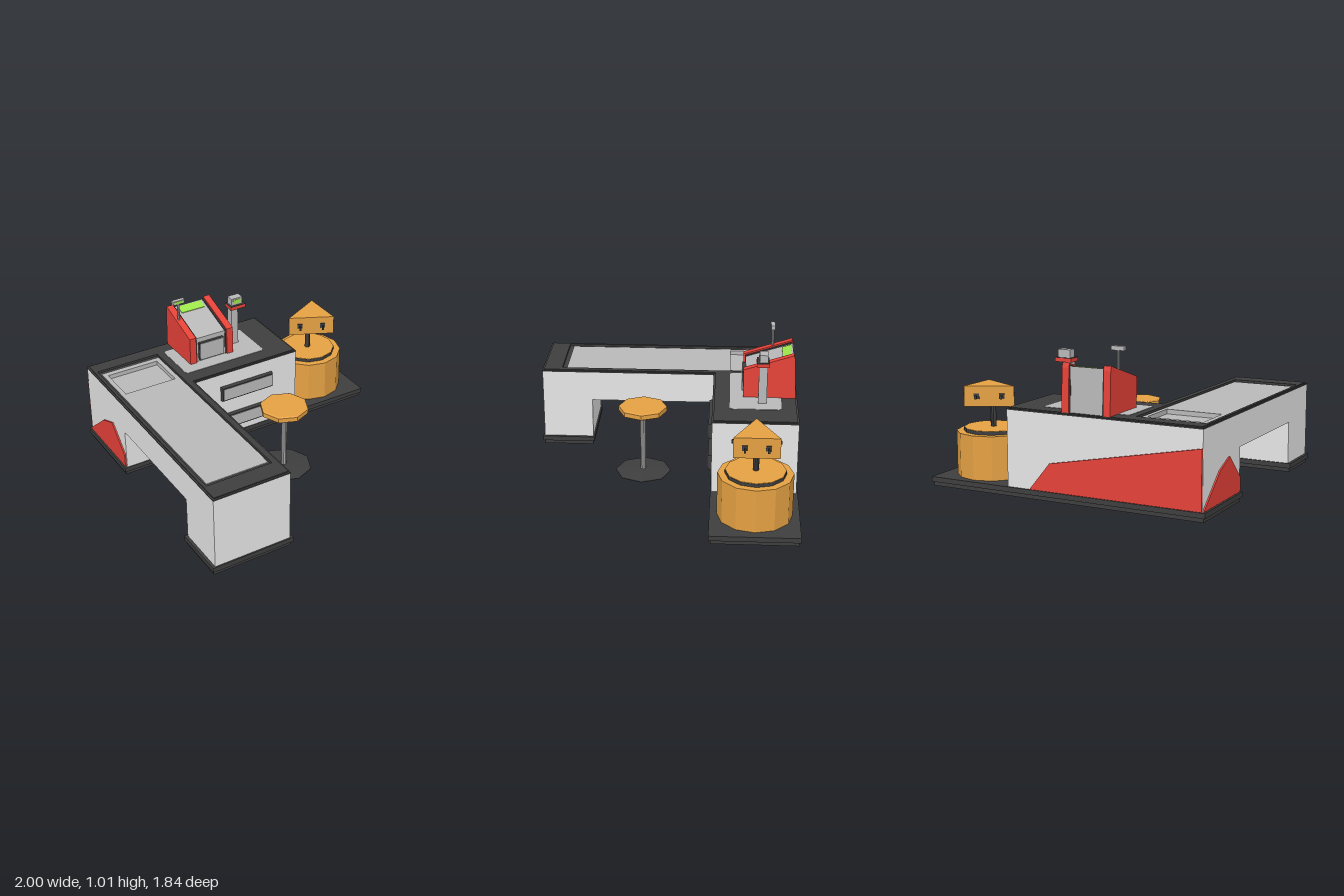
import * as THREE from 'three';

const mat = (name, color) => {
  const m = new THREE.MeshStandardMaterial({ color });
  m.name = name;
  m.flatShading = true;
  return m;
};

export function createModel() {
  const root = new THREE.Group();
  root.name = 'checkoutCounter';
  const light = mat('lightGrey', 0xe6e6e6);
  const grey = mat('midGrey', 0xb9b9b9);
  const dark = mat('darkTrim', 0x3e3e3e);
  const red = mat('red', 0xe64238);
  const orange = mat('orange', 0xe5a143);
  const green = mat('screenGreen', 0x9de64c);
  const steel = mat('steel', 0xa8a8a8);

  const group = (name, parent = root) => {
    const g = new THREE.Group();
    g.name = name;
    parent.add(g);
    return g;
  };
  const add = (name, geo, m, parent = root) => {
    const mesh = new THREE.Mesh(geo, m);
    mesh.name = name;
    parent.add(mesh);
    return mesh;
  };
  // box from its limits
  const box = (name, x0, x1, y0, y1, z0, z1, m, parent) => {
    const b = add(name, new THREE.BoxGeometry(x1 - x0, y1 - y0, z1 - z0), m, parent);
    b.position.set((x0 + x1) / 2, (y0 + y1) / 2, (z0 + z1) / 2);
  };
  const cyl = (name, r0, r1, y0, y1, n, x, z, m, parent) => {
    const c = add(name, new THREE.CylinderGeometry(r1, r0, y1 - y0, n), m, parent);
    c.position.set(x, (y0 + y1) / 2, z);
  };
  const poly = (pts) => new THREE.Shape(pts.map(([a, b]) => new THREE.Vector2(a, b)));
  const rect = (x0, x1, z0, z1) => [[x0, z0], [x1, z0], [x1, z1], [x0, z1]];
  // floor-plan slab: outline and hole in (x, z), raised from y0 to y1
  const slab = (name, pts, hole, y0, y1, m, parent) => {
    const flip = (p) => p.map(([x, z]) => [x, -z]).reverse();
    const s = poly(flip(pts));
    if (hole) s.holes.push(poly(flip(hole).reverse()));
    const g = new THREE.ExtrudeGeometry(s, { depth: y1 - y0, bevelEnabled: false });
    g.rotateX(-Math.PI / 2).translate(0, y0, 0);
    add(name, g, m, parent);
  };
  // side profile in (z, y), from x0 to x1
  const side = (name, pts, x0, x1, m, parent) => {
    const g = new THREE.ExtrudeGeometry(poly(pts), { depth: x1 - x0, bevelEnabled: false });
    g.rotateY(-Math.PI / 2).translate(x1, 0, 0);
    add(name, g, m, parent);
  };

  // plinths: stepped, open under the counter, solid under the drum
  const base = group('base');
  for (const [i, y0, y1] of [[0.012, 0, 0.028], [0, 0.028, 0.062]]) {
    slab('mainPlinth', rect(-1 + i, 0.4, -0.92 + i, -0.33 - i), rect(-0.96, 0.38, -0.885, -0.365), y0, y1, dark, base);
    slab('legPlinth', rect(-1 + i, -0.41 - i, 0.54 + i, 0.92 - i), rect(-0.96, -0.45, 0.58, 0.88), y0, y1, dark, base);
    box('drumPlinth', 0.4, 1 - i, y0, y1, -0.92 + i, -0.33 - i, dark, base);
  }

  // hollow counter body
  const body = group('counterBody');
  const yT = 0.572, yB = 0.06, yU = 0.355, t = 0.015;
  box('backWall', -0.98, 0.4, yB, yT, -0.91, -0.91 + t, light, body);
  box('frontWall', -0.43 - t, 0.4, yB, yT, -0.335 - t, -0.335, light, body);
  box('frontWallUnderArm', -0.98 + t, -0.43 - t, yB, yU + t, -0.335 - t, -0.335, light, body);
  box('rightWall', 0.4 - t, 0.4, yB, yT, -0.91 + t, -0.335 - t, light, body);
  side('outerArmWall', [[-0.91 + t, yB], [-0.335, yB], [-0.335, yU], [0.55, yU], [0.55, yB],
    [0.91, yB], [0.91, yT], [-0.91 + t, yT]], -0.98, -0.98 + t, light, body);
  side('innerArmWall', [[-0.335, yU], [0.55, yU], [0.55, yB], [0.91, yB], [0.91, yT],
    [-0.335, yT]], -0.43 - t, -0.43, light, body);
  box('armEndWall', -0.98 + t, -0.43 - t, yB, yT, 0.91 - t, 0.91, light, body);
  box('legBackWall', -0.98 + t, -0.43 - t, yB, yU + t, 0.55, 0.55 + t, light, body);
  box('armUnderside', -0.98 + t, -0.43 - t, yU, yU + t, -0.335, 0.55, light, body);

  // L-shaped worktop with a stepped edge and the belt recess
  const top = group('worktop');
  for (const [i, y0, y1] of [[0, 0.57, 0.579], [0.012, 0.579, 0.586]]) {
    slab('worktopRim', [[-0.982 + i, -0.912 + i], [0.402 - i, -0.912 + i], [0.402 - i, -0.332 - i],
      [-0.428 - i, -0.332 - i], [-0.428 - i, 0.912 - i], [-0.982 + i, 0.912 - i]],
    rect(-0.95, -0.48, -0.8, 0.77), y0, y1, dark, top);
  }
  slab('beltSurround', rect(-0.964, -0.446, -0.81, 0.78), rect(-0.91, -0.51, -0.74, -0.44), 0.55, 0.571, dark, top);
  slab('belt', rect(-0.932, -0.49, -0.765, 0.74), rect(-0.9, -0.52, -0.73, -0.45), 0.56, 0.576, grey, top);
  slab('trayWalls', rect(-0.91, -0.51, -0.74, -0.44), rect(-0.9, -0.52, -0.73, -0.45), 0.54, 0.56, grey, top);
  box('scannerTray', -0.91, -0.51, 0.534, 0.545, -0.74, -0.44, grey, top);
  box('trayBottom', -0.91, -0.51, 0.528, 0.534, -0.74, -0.44, dark, top);
  const c = 0.015;
  slab('registerMat', [[-0.43 + c, -0.8], [0.2 - c, -0.8], [0.2, -0.8 + c], [0.2, -0.45 - c], [0.2 - c, -0.45],
    [-0.43 + c, -0.45], [-0.43, -0.45 - c], [-0.43, -0.8 + c]], null, 0.583, 0.589, grey, top);

  // red panels set through the back and the outer side walls
  const backPanel = new THREE.ExtrudeGeometry(
    poly([[-0.978, 0.065], [0.23, 0.065], [0.08, 0.25], [-0.978, 0.455]]), { depth: 0.03, bevelEnabled: false });
  add('backPanel', backPanel, red).position.z = -0.922;
  side('sidePanel', [[-0.915, 0.065], [-0.345, 0.065], [-0.345, 0.16], [-0.52, 0.33], [-0.67, 0.27]],
    -0.99, -0.962, red);

  // drawers with raised dark frames, showing on the inside too
  for (const y of [0.12, 0.355]) {
    const d = group('drawer');
    const g = new THREE.BoxGeometry(0.42, 0.115, 0.026);
    const p = g.attributes.position;
    for (let i = 0; i < p.count; i++) {
      if (p.getZ(i) > 0) p.setXY(i, p.getX(i) * 0.975, p.getY(i) * 0.9);
    }
    g.computeVertexNormals();
    add('drawerFrame', g, dark, d).position.set(-0.015, y + 0.0575, -0.322);
    box('drawerFace', -0.21, 0.182, y + 0.014, y + 0.101, -0.312, -0.307, grey, d);
    box('drawerInnerFrame', -0.225, 0.195, y, y + 0.115, -0.353, -0.34, dark, d);
    box('drawerInnerFace', -0.21, 0.182, y + 0.014, y + 0.101, -0.355, -0.35, grey, d);
  }

  // cash register
  const reg = group('cashRegister');
  const cheek = [[-0.54, 0.585], [-0.54, 0.79], [-0.88, 0.9], [-0.888, 0.87], [-0.9, 0.585]];
  const core = [[-0.555, 0.585], [-0.555, 0.775], [-0.88, 0.88], [-0.888, 0.585]];
  const seam = [[-0.55, 0.585], [-0.55, 0.782], [-0.878, 0.889], [-0.892, 0.585]];
  side('registerCore', core, -0.29, -0.06, grey, reg);
  for (const x of [-0.348, -0.052]) side('registerCheek', cheek, x, x + 0.05, red, reg);
  for (const x of [-0.298, -0.062]) side('registerSeam', seam, x, x + 0.01, dark, reg);
  side('display', [[-0.805, 0.852], [-0.805, 0.86], [-0.868, 0.881], [-0.868, 0.873]], -0.265, -0.08, green, reg);
  box('panelFrame', -0.275, -0.08, 0.605, 0.74, -0.556, -0.535, dark, reg);
  box('frontPanel', -0.272, -0.083, 0.608, 0.737, -0.536, -0.53, grey, reg);
  cyl('displayPole', 0.01, 0.01, 0.82, 0.985, 8, -0.325, -0.742, steel, reg);
  box('poleDisplay', -0.37, -0.28, 0.98, 1.008, -0.757, -0.727, grey, reg);
  box('poleScreen', -0.36, -0.29, 0.985, 1.003, -0.728, -0.725, green, reg);

  // card terminal on a post
  const term = group('cardTerminal');
  box('terminalPost', 0.047, 0.1, 0.585, 0.88, -0.7, -0.642, grey, term);
  box('terminalCollar', 0.035, 0.155, 0.872, 0.897, -0.71, -0.625, red, term);
  box('collarTop', 0.035, 0.155, 0.897, 0.9, -0.71, -0.625, dark, term);
  box('terminalHead', 0.05, 0.138, 0.9, 0.952, -0.7, -0.643, grey, term);
  box('terminalScreen', 0.065, 0.123, 0.911, 0.942, -0.645, -0.64, green, term);

  // stool
  const stool = group('stool');
  cyl('stoolFoot', 0.195, 0.195, 0.01, 0.014, 8, 0, 0.15, dark, stool);
  cyl('stoolFootCone', 0.195, 0.03, 0.014, 0.028, 8, 0, 0.15, dark, stool);
  cyl('stoolPole', 0.02, 0.02, 0.02, 0.47, 10, 0, 0.15, steel, stool);
  cyl('seatLower', 0.15, 0.165, 0.462, 0.472, 8, 0, 0.15, orange, stool);
  cyl('seat', 0.168, 0.168, 0.472, 0.504, 8, 0, 0.15, orange, stool);
  cyl('seatTop', 0.168, 0.155, 0.504, 0.51, 8, 0, 0.15, orange, stool);

  // drum with a three-sided tap head
  const drum = group('drum');
  const dx = 0.693, dz = -0.626;
  cyl('drumBody', 0.248, 0.248, 0.06, 0.36, 12, dx, dz, orange, drum);
  cyl('drumRing', 0.2, 0.2, 0.36, 0.382, 12, dx, dz, dark, drum);
  cyl('drumLid', 0.198, 0.198, 0.382, 0.385, 12, dx, dz, orange, drum);
  cyl('headPost', 0.02, 0.02, 0.38, 0.54, 10, dx, dz, dark, drum);
  const tri = [[0.525, -0.625], [0.825, -0.775], [0.825, -0.475]];
  slab('tapHead', tri, null, 0.53, 0.67, orange, drum);
  // two taps on each face
  tri.forEach(([ax, az], i) => {
    const [bx, bz] = tri[(i + 1) % 3];
    for (const f of [0.25, 0.75]) {
      const tap = group('tap', drum);
      tap.position.set(ax + (bx - ax) * f, 0.6, az + (bz - az) * f);
      tap.rotation.y = Math.atan2(bz - az, ax - bx);
      box('tapPlate', -0.018, 0.018, -0.018, 0.018, -0.002, 0.005, dark, tap);
      box('tapSpout', -0.005, 0.005, -0.005, 0.005, 0, 0.05, dark, tap);
      box('tapHandle', -0.007, 0.007, -0.012, 0.012, 0.042, 0.05, dark, tap);
    }
  });

  return root;
}
